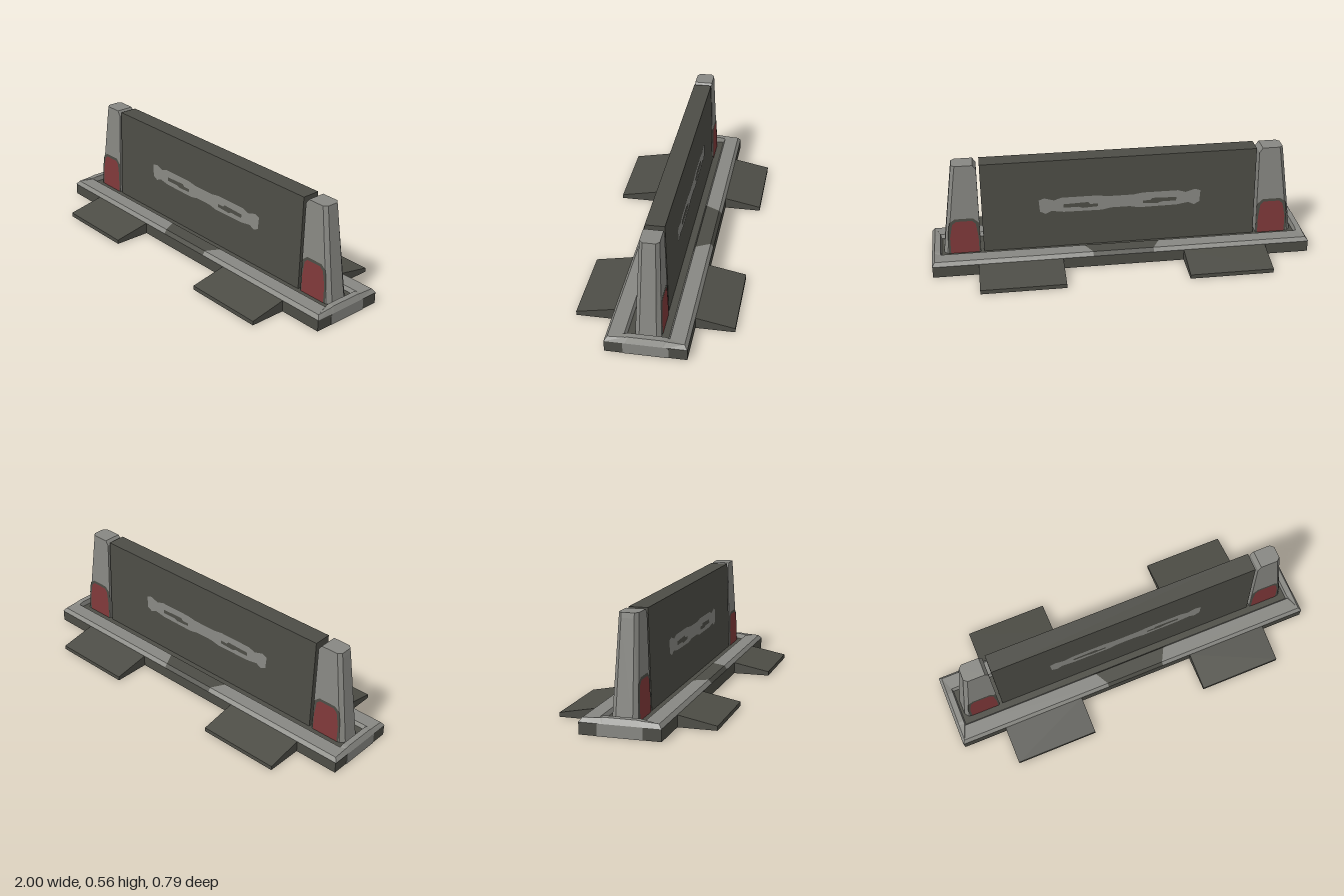
import * as THREE from 'three';

const material = (name, color) => Object.assign(new THREE.MeshStandardMaterial({ color }), { name });

// Skin a list of convex cross-sections (each a list of [x, y, z]) and cap both ends
function loft(sections) {
  const n = sections[0].length;
  const tris = [];
  for (let s = 0; s < sections.length - 1; s++) {
    for (let i = 0; i < n; i++) {
      const j = (i + 1) % n;
      const a = sections[s][i], b = sections[s][j], c = sections[s + 1][j], d = sections[s + 1][i];
      tris.push([a, b, c], [a, c, d]);
    }
  }
  const first = sections[0], last = sections[sections.length - 1];
  for (let i = 1; i < n - 1; i++) {
    tris.push([first[0], first[i + 1], first[i]], [last[0], last[i], last[i + 1]]);
  }
  // A negative volume means the faces point inward, so turn them round
  const [a0, b0, c0] = [new THREE.Vector3(), new THREE.Vector3(), new THREE.Vector3()];
  let volume = 0;
  for (const [a, b, c] of tris) {
    volume += a0.fromArray(a).dot(b0.fromArray(b).cross(c0.fromArray(c)));
  }
  const points = tris.flatMap(([a, b, c]) => (volume < 0 ? [a, c, b] : [a, b, c])).flat();
  const geometry = new THREE.BufferGeometry();
  geometry.setAttribute('position', new THREE.Float32BufferAttribute(points, 3));
  geometry.computeVertexNormals();
  return geometry;
}

// Half depth of the tapering wall and posts at height y
const halfDepth = (y) => 0.064 - 0.032 * (y - 0.06);

// Thin painted face lying on the sloping front of the wall or a post
function paintedFace(outline, holes, offset) {
  const toVectors = (points) => points.map(([x, y]) => new THREE.Vector2(x, y));
  const shape = new THREE.Shape(toVectors(outline));
  shape.holes = holes.map((h) => new THREE.Path(toVectors(h)));
  const geometry = new THREE.ShapeGeometry(shape);
  const p = geometry.attributes.position;
  for (let i = 0; i < p.count; i++) p.setZ(i, halfDepth(p.getY(i)) + offset);
  geometry.computeVertexNormals();
  return geometry;
}

export function createModel() {
  const model = new THREE.Group();
  model.name = 'barrier';
  const dark = material('dark olive grey', 0x4d4d46);
  const grey = material('light grey', 0x888883);
  const red = material('dull red', 0x80393a);

  const add = (name, geometry, mat) => {
    const mesh = new THREE.Mesh(geometry, mat);
    mesh.name = name;
    model.add(mesh);
    return mesh;
  };

  // Base slab
  const slab = new THREE.BoxGeometry(1.995, 0.06, 0.4);
  slab.translate(0, 0.03, 0);
  add('baseSlab', slab, dark);

  // Rim: side rails with a dark middle, mitred into the end rims
  const railZ = [0.2, 0.185, 0.11, 0.1];
  const railY = [0.06, 0.08, 0.08, 0.06];
  const mitreX = [1, 0.985, 0.955, 0.95];
  const splitX = [0.16, 0.16, 0.2, 0.23];
  const railSection = (xs, sx, sz) => xs.map((x, i) => [x * sx, railY[i], railZ[i] * sz]);
  for (const sz of [1, -1]) {
    add('railMiddle', loft([railSection(splitX, -1, sz), railSection(splitX, 1, sz)]), dark);
    for (const sx of [1, -1]) {
      add('rail', loft([railSection(splitX, sx, sz), railSection(mitreX, sx, sz)]), grey);
    }
  }

  for (const sx of [1, -1]) {
    // End rim, slightly raised in the middle
    const rimSection = (z, h) => mitreX.map((x, i) => [x * sx, i % 3 ? h : 0.06, z]);
    add('endRim', loft([
      railSection(mitreX, sx, 1),
      rimSection(0.1, 0.085), rimSection(0.085, 0.088),
      rimSection(-0.085, 0.088), rimSection(-0.1, 0.085),
      railSection(mitreX, sx, -1),
    ]), grey);
    const plate = new THREE.BoxGeometry(0.005, 0.06, 0.22);
    plate.translate(sx * 0.9975, 0.03, 0);
    add('endPlate', plate, grey);

    // Tapering post with bevelled outer corners and a clipped inner top edge
    const postSection = (y, inner, outer) => {
      const d = halfDepth(y), e = d * 0.65;
      return [[inner, d], [outer - 0.018, d], [outer, e], [outer, -e], [outer - 0.018, -d], [inner, -d]]
        .map(([x, z]) => [x * sx, y, z]);
    };
    add('post', loft([
      postSection(0.055, 0.743, 0.937),
      postSection(0.53, 0.743, 0.874),
      postSection(0.555, 0.76, 0.87),
    ]), grey);

    // Wedge feet at front and back
    for (const sz of [1, -1]) {
      const footSection = (x) => [[0, 0.2], [0.06, 0.2], [0.022, 0.395], [0, 0.395]]
        .map(([y, z]) => [x * sx, y, z * sz]);
      add('foot', loft([footSection(0.32), footSection(0.76)]), dark);
    }
  }

  // Wall panel
  const wallSection = (x) => [[0.055, 1], [0.555, 1], [0.555, -1], [0.055, -1]]
    .map(([y, side]) => [x, y, side * halfDepth(y)]);
  add('wallPanel', loft([wallSection(-0.727), wallSection(0.727)]), dark);

  // Painted patches, repeated on the front and back
  const halfPatch = [[0.07, 0.335], [0.12, 0.343], [0.31, 0.343], [0.35, 0.33], [0.4, 0.345], [0.43, 0.335],
    [0.425, 0.27], [0.395, 0.255], [0.365, 0.27], [0.3, 0.26], [0.1, 0.258], [0.05, 0.268]];
  const patch = [...halfPatch, ...halfPatch.map(([x, y]) => [-x, y]).reverse()];
  const slot = [[0.12, 0.28], [0.2, 0.276], [0.22, 0.284], [0.3, 0.284], [0.3, 0.304], [0.17, 0.308],
    [0.16, 0.296], [0.12, 0.296]];
  const slots = [slot, slot.map(([x, y]) => [-x, y])];
  const redOutline = [[0.752, 0.06], [0.9, 0.06], [0.9, 0.15], [0.885, 0.225], [0.865, 0.243],
    [0.78, 0.243], [0.762, 0.225], [0.752, 0.15]];
  const borderOutline = [[0.745, 0.06], [0.912, 0.06], [0.91, 0.17], [0.9, 0.235], [0.87, 0.257],
    [0.775, 0.257], [0.745, 0.23]];
  for (const turn of [0, Math.PI]) {
    add('wallPatch', paintedFace(patch, slots, 0.002), grey).rotation.y = turn;
    for (const sx of [1, -1]) {
      const flip = (points) => points.map(([x, y]) => [x * sx, y]);
      add('reflectorBorder', paintedFace(flip(borderOutline), [], 0.0015), dark).rotation.y = turn;
      add('reflector', paintedFace(flip(redOutline), [], 0.003), red).rotation.y = turn;
    }
  }
  return model;
}
